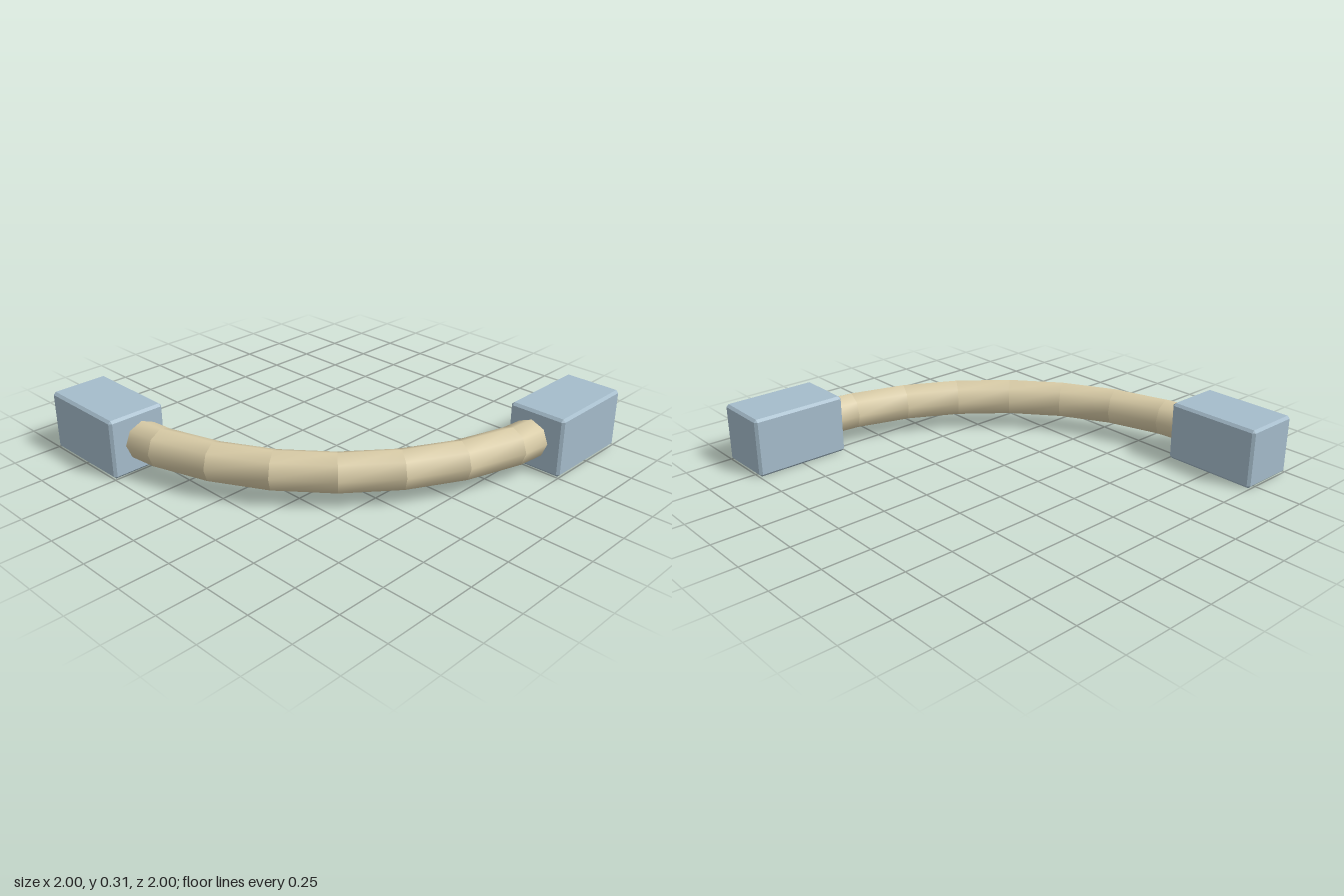
import * as THREE from 'three';
import { mergeGeometries, mergeVertices } from 'three/addons/utils/BufferGeometryUtils.js';
import { ConvexGeometry } from 'three/addons/geometries/ConvexGeometry.js';

const MID_Y = 0.153;

// Box with every edge cut by a small flat chamfer
function chamferedBox(w, h, d, c) {
  const points = [];
  for (const x of [-1, 1]) for (const y of [-1, 1]) for (const z of [-1, 1]) {
    for (let axis = 0; axis < 3; axis++) {
      const inset = [c, c, c];
      inset[axis] = 0;
      points.push(new THREE.Vector3(
        x * (w / 2 - inset[0]), y * (h / 2 - inset[1]), z * (d / 2 - inset[2])));
    }
  }
  return new ConvexGeometry(points);
}

// Quarter ring of straight eight-sided sections, smooth around and creased between sections
function bentRod(ringRadius, rodRadius, sections) {
  const step = Math.PI / 2 / sections;
  const parts = [];
  for (let i = 0; i < sections; i++) {
    const torus = new THREE.TorusGeometry(ringRadius, rodRadius, 8, 1, step);
    torus.deleteAttribute('uv');
    torus.deleteAttribute('normal');
    const part = mergeVertices(torus, 1e-5);
    part.rotateZ(Math.PI / 2 + i * step);
    part.rotateX(Math.PI / 2);
    part.computeVertexNormals();
    parts.push(part);
  }
  return mergeGeometries(parts);
}

export function createModel() {
  const blockBlue = new THREE.MeshStandardMaterial({ color: 0xa5bccb });
  blockBlue.name = 'blockBlue';
  const rodTan = new THREE.MeshStandardMaterial({ color: 0xd8cba6 });
  rodTan.name = 'rodTan';

  const model = new THREE.Group();
  model.name = 'curvedHandle';

  const add = (name, geometry, material, x, y, z) => {
    const mesh = new THREE.Mesh(geometry, material);
    mesh.name = name;
    mesh.position.set(x, y, z);
    model.add(mesh);
    return mesh;
  };

  // End blocks, at right angles to each other
  const block = chamferedBox(0.304, 0.306, 0.5, 0.013);
  add('backBlock', block, blockBlue, -0.848, MID_Y, -0.75);
  add('frontBlock', block, blockBlue, 0.75, MID_Y, 0.848).rotation.y = Math.PI / 2;

  // Curved rod, its ends sunk into the blocks
  add('curvedRod', bentRod(1.5, 0.099, 8), rodTan, 0.66, MID_Y + 0.003, -0.66);

  return model;
}
